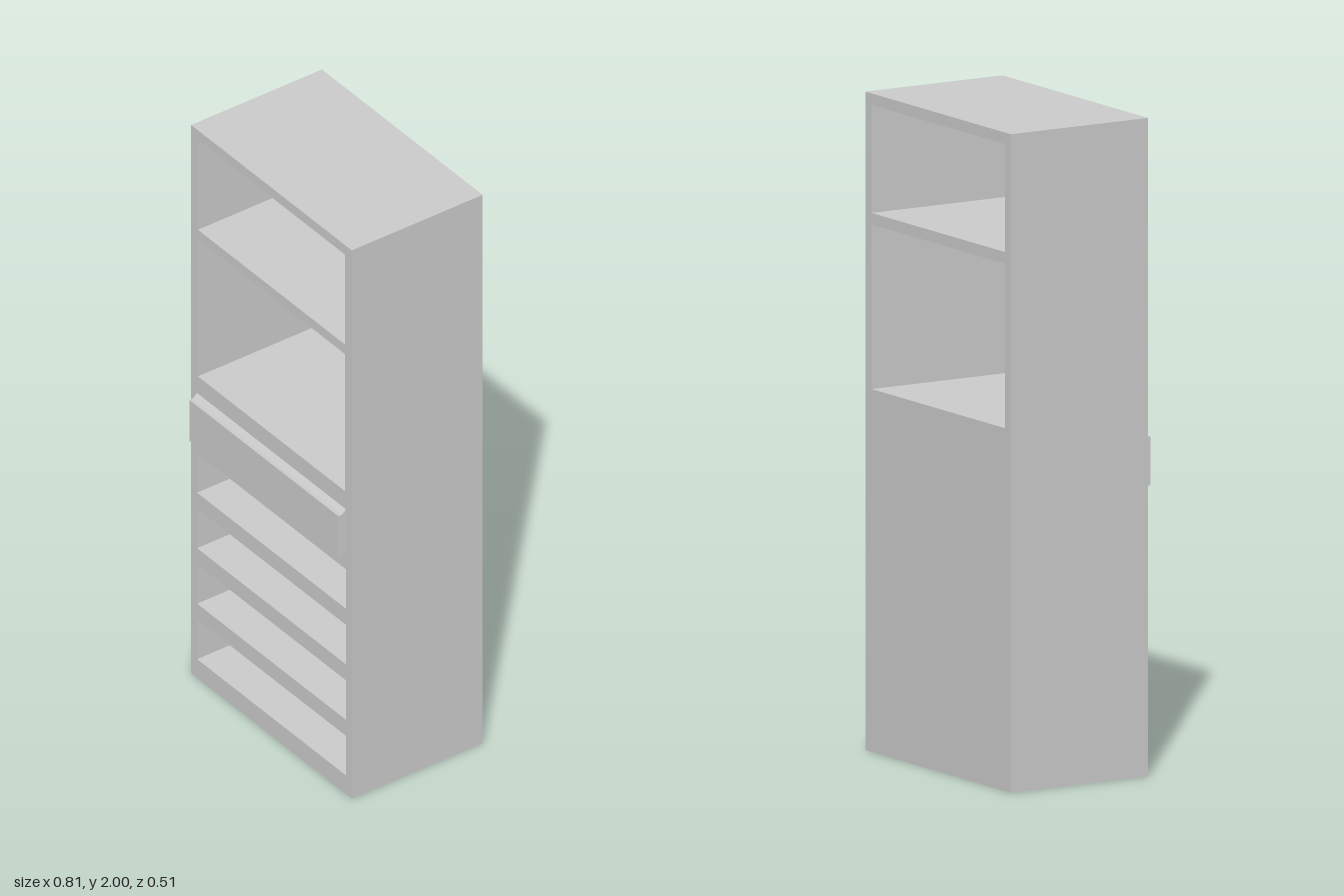
import * as THREE from 'three';

const material = new THREE.MeshStandardMaterial({ color: 0xcccccc, flatShading: true });

// Adds a rectangular path, corner to corner
function rect(path, x, y0, y1) {
  path.moveTo(-x, y0);
  path.lineTo(x, y0);
  path.lineTo(x, y1);
  path.lineTo(-x, y1);
  path.closePath();
  return path;
}

// Upright slab with rectangular openings, from z0 to z1
function slab(name, openings, z0, z1) {
  const shape = rect(new THREE.Shape(), 0.404, 0, 2);
  for (const [x, y0, y1] of openings) shape.holes.push(rect(new THREE.Path(), x, y0, y1));
  const geometry = new THREE.ExtrudeGeometry(shape, { depth: z1 - z0, bevelEnabled: false });
  geometry.translate(0, 0, z0);
  const mesh = new THREE.Mesh(geometry, material);
  mesh.name = name;
  return mesh;
}

export function createModel() {
  const group = new THREE.Group();
  group.name = 'shelfCabinet';

  // Open shelves run right through; drawer slots stop at the back panel
  const shelves = [[0.37, 1.102, 1.602], [0.37, 1.637, 1.965]];
  const slots = [];
  for (let i = 0; i < 5; i++) slots.push([0.374, 0.068 + i * 0.2025, 0.212 + i * 0.2025]);

  group.add(slab('cabinetBody', [...slots, ...shelves], -0.235, 0.228));
  group.add(slab('backPanel', shelves, -0.257, -0.235));

  // Drawer front: slim panel with a sloped lip meeting the cabinet (profile in z, y)
  const profile = new THREE.Shape([
    [0.227, 0.876], [0.256, 0.876], [0.256, 1.025], [0.243, 1.025], [0.227, 1.04],
  ].map(([z, y]) => new THREE.Vector2(-z, y)));
  const geometry = new THREE.ExtrudeGeometry(profile, { depth: 0.75, bevelEnabled: false });
  geometry.translate(0, 0, -0.375);
  geometry.rotateY(Math.PI / 2);
  const drawerFront = new THREE.Mesh(geometry, material);
  drawerFront.name = 'drawerFront';
  group.add(drawerFront);

  return group;
}
